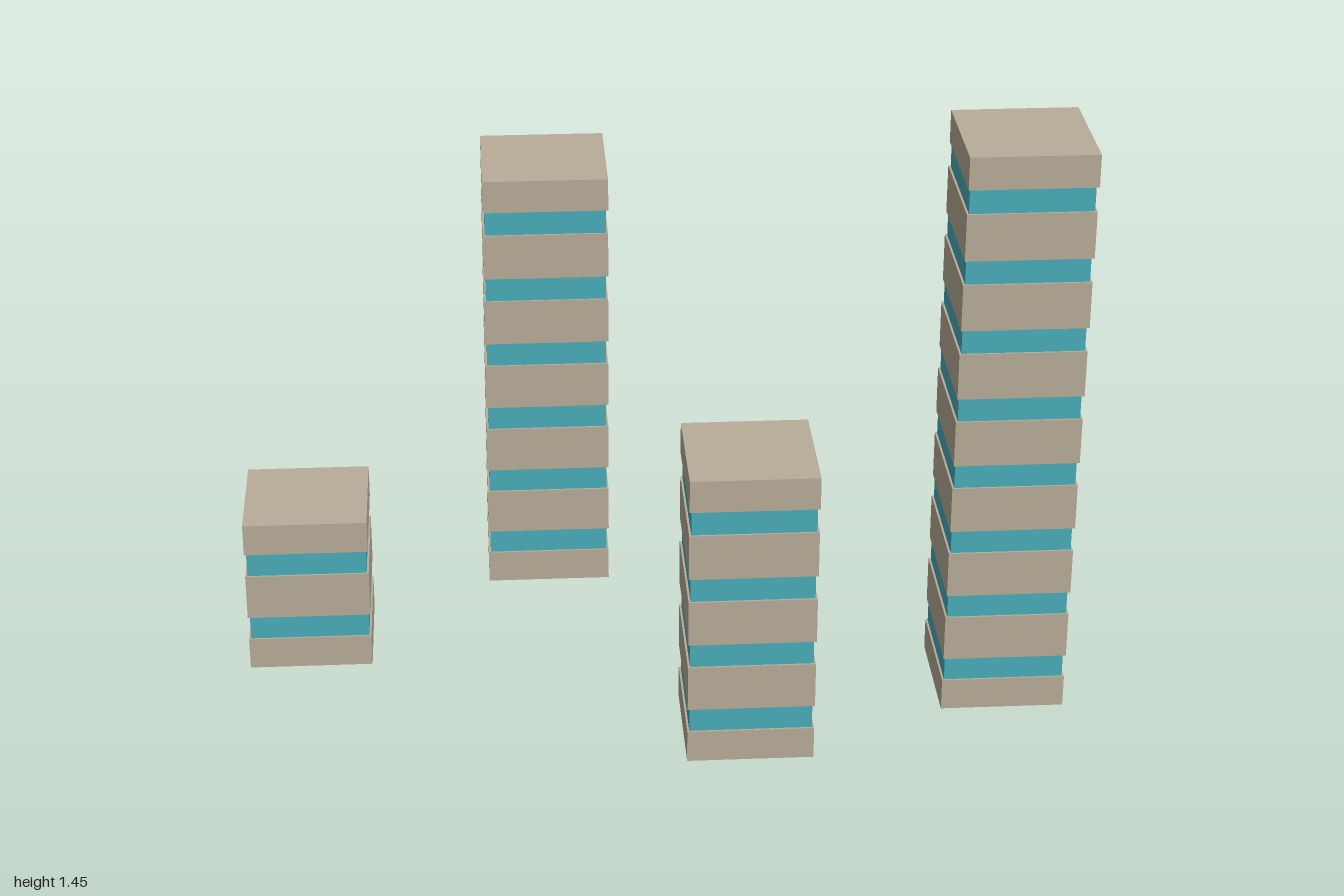
import * as THREE from 'three';

const SIDE = 0.3, INSET = 0.005, GLASS = 0.06, CAP = 0.08;
const concrete = new THREE.MeshStandardMaterial({ color: 0xb8ad98 });
const glass = new THREE.MeshStandardMaterial({ color: 0x49adb9 });

// base: bottom height, from/to: plan centre [x, z] at the bottom and top (slight drift)
const towers = [
  { name: 'smallTower', floors: 2, base: 0.06, pitch: 0.175, from: [-0.85, -0.133], to: [-0.85, -0.134] },
  { name: 'backTower', floors: 6, base: 0.178, pitch: 0.1725, from: [-0.255, -0.325], to: [-0.25, -0.32] },
  { name: 'frontTower', floors: 4, base: 0.038, pitch: 0.174, from: [0.198, 0.325], to: [0.201, 0.322] },
  { name: 'tallTower', floors: 8, base: 0, pitch: 0.176, from: [0.84, 0.065], to: [0.849, 0.07] },
];

function block(name, material, side, y0, y1, x, z) {
  const mesh = new THREE.Mesh(new THREE.BoxGeometry(side, y1 - y0, side), material);
  mesh.name = name;
  mesh.position.set(x, (y0 + y1) / 2, z);
  return mesh;
}

function createTower({ name, floors, base, pitch, from, to }) {
  const tower = new THREE.Group();
  tower.name = name;
  let bottom = base;
  for (let i = 0; i <= floors; i++) {
    const t = i / floors;
    const x = THREE.MathUtils.lerp(from[0], to[0], t);
    const z = THREE.MathUtils.lerp(from[1], to[1], t);
    // Concrete band: thinner at the foot and the roof
    const top = i < floors ? base + CAP + i * pitch : bottom + CAP;
    const band = i === 0 ? 'footBand' : i === floors ? 'roofBand' : 'floorBand';
    tower.add(block(band, concrete, SIDE, bottom, top, x, z));
    // Recessed window strip above it
    if (i < floors) tower.add(block('windowStrip', glass, SIDE - 2 * INSET, top, top + GLASS, x, z));
    bottom = top + GLASS;
  }
  return tower;
}

export function createModel() {
  const model = new THREE.Group();
  model.name = 'towers';
  for (const t of towers) model.add(createTower(t));
  return model;
}
